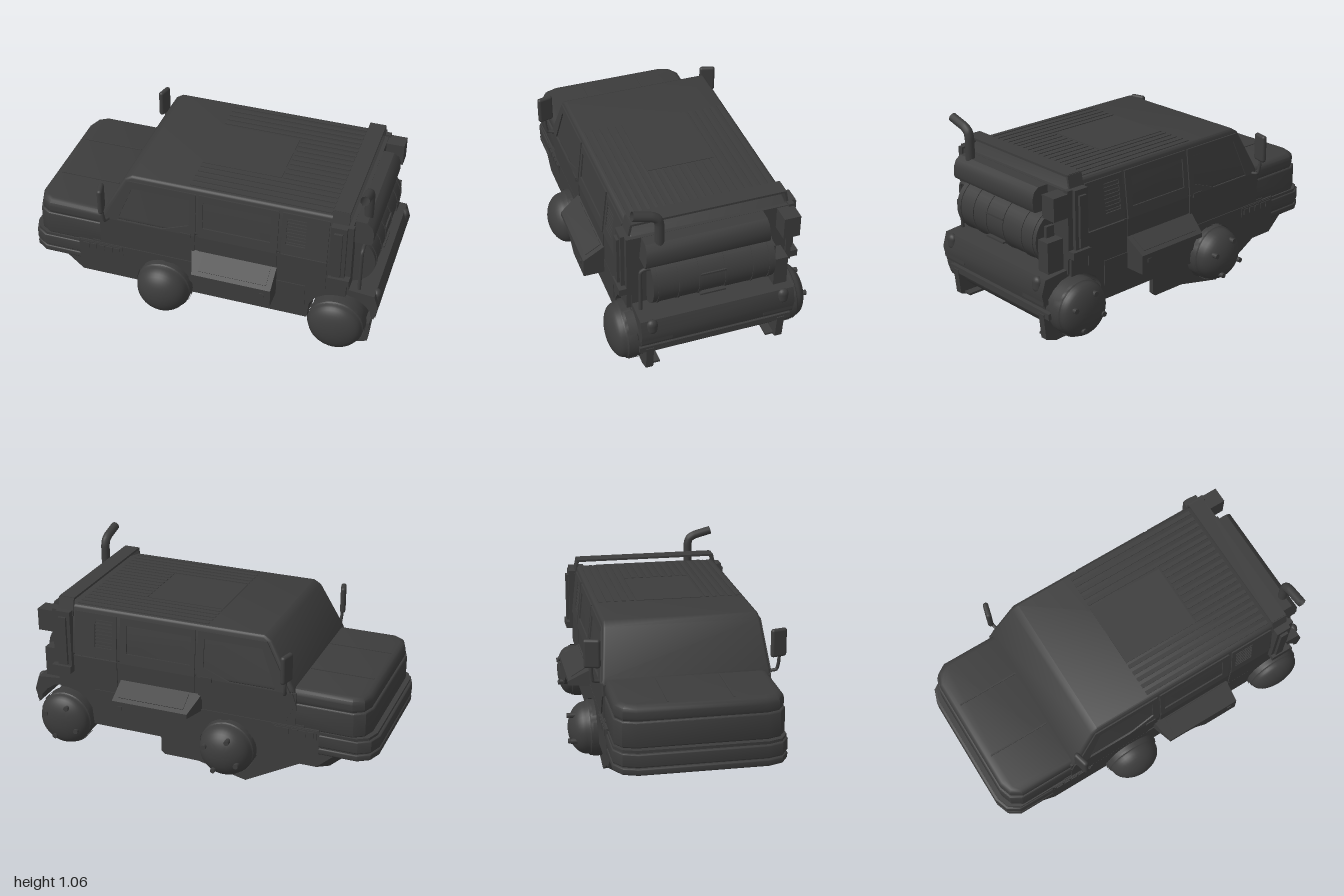
import * as THREE from 'three';
import { toCreasedNormals } from 'three/addons/utils/BufferGeometryUtils.js';
import { RoundedBoxGeometry } from 'three/addons/geometries/RoundedBoxGeometry.js';

const V = (x, y, z) => new THREE.Vector3(x, y, z);

export function createModel() {
  const root = new THREE.Group();
  const mat = new THREE.MeshStandardMaterial({ color: 0x3c3c3c, side: THREE.DoubleSide });

  const add = (name, geo, x = 0, y = 0, z = 0) => {
    const m = new THREE.Mesh(geo, mat);
    m.name = name;
    m.position.set(x, y, z);
    root.add(m);
    return m;
  };
  // box given by its min/max on each axis
  const box = (name, x0, x1, y0, y1, z0, z1) =>
    add(name, new THREE.BoxGeometry(x1 - x0, y1 - y0, z1 - z0), (x0 + x1) / 2, (y0 + y1) / 2, (z0 + z1) / 2);
  const box2 = (name, x0, x1, y0, y1, z0, z1) => {
    box(name, x0, x1, y0, y1, z0, z1);
    box(name, x0, x1, y0, y1, -z1, -z0);
  };
  const shapeOf = (pts) => new THREE.Shape(pts.map((p) => new THREE.Vector2(p[0], p[1])));
  const extrude = (shape, depth, b) => new THREE.ExtrudeGeometry(shape, {
    depth: depth - 2 * b, bevelEnabled: b > 0, bevelThickness: b, bevelSize: b, bevelOffset: -b, bevelSegments: 3,
  });
  // moves every vertex by a rule and refreshes the normals
  const warp = (geo, rule) => {
    const p = geo.attributes.position;
    for (let i = 0; i < p.count; i++) {
      const v = V(p.getX(i), p.getY(i), p.getZ(i));
      rule(v);
      p.setXYZ(i, v.x, v.y, v.z);
    }
    return toCreasedNormals(geo, 0.6);
  };
  // cabin sides lean inwards above the waistline
  const lean = (v) => { v.z *= 1 - 0.07 * THREE.MathUtils.clamp((v.y - 0.6) / 0.29, 0, 1); };
  // outline in x,y swept from z0 to z1
  const side = (name, pts, z0, z1, b = 0, hole = null) => {
    const s = shapeOf(pts);
    if (hole) s.holes.push(new THREE.Path(hole.map((p) => new THREE.Vector2(p[0], p[1]))));
    return add(name, warp(extrude(s, z1 - z0, b).translate(0, 0, z0 + b), lean));
  };
  const side2 = (name, pts, z0, z1, b = 0, hole = null) => {
    side(name, pts, z0, z1, b, hole);
    side(name, pts, -z1, -z0, b, hole);
  };
  // plan outline in x,z swept from y0 to y1
  const plan = (name, pts, y0, y1, b = 0, rule = () => {}) =>
    add(name, warp(extrude(shapeOf(pts), y1 - y0, b).rotateX(Math.PI / 2).translate(0, y1 - b, 0), rule));
  const nose = (x0, x1, w, c) => [[x1, -w], [x0 + c, -w], [x0 + c * 0.3, -w + c * 0.45], [x0, -w + c * 1.3],
    [x0, w - c * 1.3], [x0 + c * 0.3, w - c * 0.45], [x0 + c, w], [x1, w]];
  const tube = (name, pts, r) =>
    add(name, new THREE.TubeGeometry(new THREE.CatmullRomCurve3(pts, false, 'catmullrom', 0.2), 24, r, 12));
  const roll = (name, r, len, x, y, z) =>
    add(name, new THREE.CylinderGeometry(r, r, len, 40).rotateX(Math.PI / 2), x, y, z);

  // hull and cabin
  side('lowerBody', [[-0.62, 0.19], [0.615, 0.19], [0.625, 0.29], [0.66, 0.345], [0.71, 0.375], [0.77, 0.39], [0.82, 0.39],
    [0.82, 0.6], [-0.57, 0.6], [-0.57, 0.42], [-0.62, 0.42]], -0.445, 0.445);
  plan('noseUnderside', nose(-0.88, -0.62, 0.445, 0.09), 0.19, 0.28, 0, (v) => {
    if (v.y < 0.2 && v.x < -0.65) v.x += 0.1;
  });
  side('cabin', [[-0.56, 0.6], [-0.55, 0.63], [-0.42, 0.865], [-0.38, 0.89], [0.72, 0.89], [0.81, 0.85], [0.81, 0.6]],
    -0.45, 0.45, 0.015);
  for (let i = 0; i < 9; i++) box('bellyRib', -0.74, 0.58, 0.184, 0.192, -0.37 + i * 0.09, -0.34 + i * 0.09);

  // bonnet and bumper
  plan('bonnet', nose(-0.95, -0.5, 0.435, 0.08), 0.52, 0.62, 0.035);
  plan('noseBody', nose(-0.96, -0.5, 0.44, 0.08), 0.4, 0.54, 0.008);
  plan('bumperRecess', nose(-0.985, -0.6, 0.445, 0.085), 0.275, 0.4);
  plan('upperBumper', nose(-1, -0.7, 0.45, 0.09), 0.313, 0.385, 0.008);
  plan('lowerBumper', nose(-1, -0.7, 0.45, 0.09), 0.27, 0.307, 0.008);
  box2('bonnetCrease', -0.91, -0.56, 0.61, 0.624, 0.165, 0.173);

  // doors, windows and side trim
  side2('frontDoorPanel', [[-0.57, 0.54], [-0.51, 0.42], [-0.09, 0.42], [-0.02, 0.49], [-0.02, 0.6], [-0.55, 0.6]], 0.44, 0.452);
  side2('frontWindowFrame', [[-0.54, 0.6], [-0.4, 0.86], [-0.015, 0.86], [-0.015, 0.6]], 0.448, 0.458, 0,
    [[-0.46, 0.605], [-0.375, 0.82], [-0.05, 0.82], [-0.05, 0.66], [-0.2, 0.605]]);
  side2('rearDoorPanel', [[0, 0.5], [0.44, 0.5], [0.44, 0.6], [0, 0.6]], 0.44, 0.452);
  side2('rearWindowFrame', [[0, 0.6], [0, 0.86], [0.44, 0.86], [0.44, 0.6]], 0.448, 0.458, 0,
    [[0.025, 0.66], [0.025, 0.82], [0.4, 0.82], [0.4, 0.66]]);
  side2('rearQuarterPanel', [[0.46, 0.42], [0.71, 0.42], [0.71, 0.6], [0.46, 0.6]], 0.44, 0.452);
  side2('ventFrame', [[0.46, 0.61], [0.46, 0.86], [0.71, 0.86], [0.71, 0.61]], 0.448, 0.458, 0,
    [[0.485, 0.67], [0.485, 0.83], [0.59, 0.83], [0.59, 0.67]]);
  for (let i = 0; i < 8; i++) {
    const y = 0.675 + i * 0.02;
    side2('ventSlat', [[0.485, y], [0.59, y], [0.59, y + 0.009], [0.485, y + 0.009]], 0.448, 0.456);
  }
  box2('doorHandle', -0.1, -0.04, 0.585, 0.61, 0.45, 0.462);
  box2('sillPanel', -0.7, 0.6, 0.27, 0.41, 0.44, 0.45);
  box2('markerStrip', -0.69, -0.44, 0.35, 0.405, 0.44, 0.454);
  for (let i = 0; i < 5; i++) box2('markerLamp', -0.675 + i * 0.046, -0.64 + i * 0.046, 0.363, 0.397, 0.44, 0.459);

  // side lockers: top falls outwards, deeper towards the back
  for (const s of [1, -1]) {
    const outline = [[-0.04, 0.5], [-0.04, 0.4], [0.15, 0.4], [0.24, 0.32], [0.44, 0.32], [0.44, 0.5]];
    add('sideLocker', warp(extrude(shapeOf(outline), 0.125, 0).translate(0, 0, 0.44), (v) => {
      if (v.z > 0.5) {
        if (v.y > 0.45) v.y = 0.425;
        if (v.x < 0) v.x = 0;
      }
      v.z *= s;
    }));
    const lid = add('lockerLid', new THREE.BoxGeometry(0.38, 0.008, 0.1), 0.22, 0.464, s * 0.5);
    lid.rotation.x = s * 0.54;
    box('lockerLatch', 0.38, 0.405, 0.38, 0.4, s > 0 ? 0.56 : -0.57, s > 0 ? 0.57 : -0.56);
  }

  // roof ribs and hatch
  for (let i = 0; i < 5; i++) box2('roofRib', -0.06, 0.71, 0.885, 0.894, 0.2 + i * 0.043, 0.222 + i * 0.043);
  for (let i = 0; i < 9; i++) box('roofRib', 0.39, 0.71, 0.885, 0.894, -0.182 + i * 0.043, -0.16 + i * 0.043);
  box('roofHatch', -0.06, 0.38, 0.885, 0.893, -0.185, 0.185);

  // strap over the rear of the roof
  box('roofStrap', 0.72, 0.81, 0.914, 0.926, -0.41, 0.41);
  for (const s of [1, -1]) {
    const leg = add('strapLeg', new THREE.BoxGeometry(0.09, 0.1, 0.012), 0.765, 0.875, s * 0.421);
    leg.rotation.x = -s * 0.2;
  }

  // rear corner posts
  box2('cornerPost', 0.725, 0.81, 0.52, 0.86, 0.42, 0.47);
  box2('postStrip', 0.745, 0.79, 0.55, 0.83, 0.465, 0.485);
  box2('cornerStrut', 0.79, 0.84, 0.49, 0.86, 0.42, 0.45);
  box2('strutFoot', 0.725, 0.84, 0.5, 0.54, 0.42, 0.49);

  // rear equipment: top box, tank with bands, cabinet, pipes
  side('rearTopBox', [[0.8, 0.72], [0.92, 0.72], [0.93, 0.74], [0.93, 0.79], [0.918, 0.825], [0.89, 0.847], [0.8, 0.85]], -0.3, 0.39);
  box('rearEndBox', 0.83, 0.93, 0.72, 0.845, -0.45, -0.36);
  box('rearWall', 0.79, 0.83, 0.4, 0.85, -0.43, 0.42);
  roll('rearTank', 0.15, 0.66, 0.795, 0.57, 0.01);
  for (const z of [-0.29, -0.2, -0.05, 0.09, 0.2, 0.31]) roll('tankBand', 0.154, 0.012, 0.795, 0.57, z);
  for (const y of [0.48, 0.61]) box('tankPlateEdge', 0.9, 0.945, y, y + 0.01, -0.05, 0.09);
  box('rearCabinet', 0.82, 0.93, 0.42, 0.59, -0.395, -0.32);
  box('cabinetValve', 0.84, 0.89, 0.59, 0.65, -0.34, -0.31);
  tube('cableLoop', [V(0.88, 0.42, 0.39), V(0.88, 0.66, 0.39), V(0.88, 0.68, 0.37), V(0.88, 0.68, 0.32)], 0.01);
  tube('exhaustPipe', [V(0.88, 0.83, 0.29), V(0.88, 0.955, 0.29), V(0.88, 0.99, 0.3), V(0.88, 1.01, 0.33), V(0.88, 1.037, 0.43)], 0.025);

  // rear wheel guard and lamps
  side('rearGuard', [[0.8, 0.39], [0.87, 0.375], [0.92, 0.34], [0.955, 0.3], [0.975, 0.25],
    [0.995, 0.33], [0.97, 0.41], [0.8, 0.425]], -0.42, 0.42);
  box2('guardBlock', 0.955, 0.985, 0.27, 0.315, 0.25, 0.42);
  for (const s of [1, -1]) {
    const lamp = add('tailLamp', new THREE.CapsuleGeometry(0.03, 0.03, 6, 16), 0.973, 0.37, s * 0.36);
    lamp.scale.x = 0.8;
  }

  // domed wheels with a segmented collar
  const dome = (r, height, start) => {
    const pts = [[0, 0], [r - 0.02, 0], [r, 0.02], [r, start], [r - 0.006, start + 0.005]].map((p) => new THREE.Vector2(...p));
    for (let i = 0; i <= 10; i++) {
      const a = (i / 10) * Math.PI / 2;
      pts.push(new THREE.Vector2((r - 0.008) * Math.cos(a), start + 0.01 + (height - start - 0.01) * Math.sin(a)));
    }
    return toCreasedNormals(new THREE.LatheGeometry(pts, 40).rotateX(Math.PI / 2), 0.5);
  };
  const wheel = (name, x, y, inner, outer, start) => {
    for (const s of [1, -1]) {
      const w = add(name, dome(0.154, outer - inner, start), x, y, s * inner);
      if (s < 0) w.rotation.y = Math.PI;
      for (let i = 0; i < 6; i++) {
        add('wheelCollar', new THREE.CylinderGeometry(0.159, 0.159, 0.05, 6, 1, true, i * Math.PI / 3, 0.8)
          .rotateX(Math.PI / 2), x, y, s * (inner + start - 0.035));
      }
    }
    // hub bolts on the right-hand wheels only
    for (let i = 0; i < 4; i++) {
      const a = i * Math.PI / 2 + 0.4;
      roll('wheelBolt', 0.014, 0.06, x + 0.1 * Math.cos(a), y + 0.1 * Math.sin(a), -outer + 0.035);
    }
  };
  wheel('rearWheel', 0.78, 0.21, 0.4, 0.55, 0.07);
  wheel('frontWheel', -0.195, 0.22, 0.33, 0.595, 0.15);

  // full-width rear roller and its scraper frame
  roll('rearRoller', 0.15, 0.9, 0.78, 0.21, 0);
  box('scraperBar', 0.925, 0.955, 0.18, 0.215, -0.42, 0.42);
  side2('scraperArm', [[0.77, 0.035], [0.88, 0.03], [0.945, 0.055], [0.96, 0.2], [0.925, 0.2], [0.9, 0.12],
    [0.85, 0.08], [0.78, 0.06]], 0.345, 0.385);
  box2('scraperFoot', 0.8, 0.92, 0.05, 0.062, 0.3, 0.35);

  // keel plate beside the right front wheel
  side('keelPlate', [[-0.63, 0.195], [-0.28, 0.003], [0, 0.065], [0.2, 0.065], [0.22, 0.085], [0.22, 0.195]], -0.415, -0.39);

  // mirrors: tall plates on bent arms
  for (const s of [1, -1]) {
    tube('mirrorArm', [V(-0.51, 0.6, s * 0.44), V(-0.52, 0.61, s * 0.49), V(-0.525, 0.66, s * 0.5), V(-0.53, 0.76, s * 0.5)], 0.009);
    const m = add('mirror', new RoundedBoxGeometry(0.03, 0.155, 0.09, 3, 0.014), -0.53, 0.762, s * 0.495);
    m.rotation.y = s * 0.25;
  }
  return root;
}
